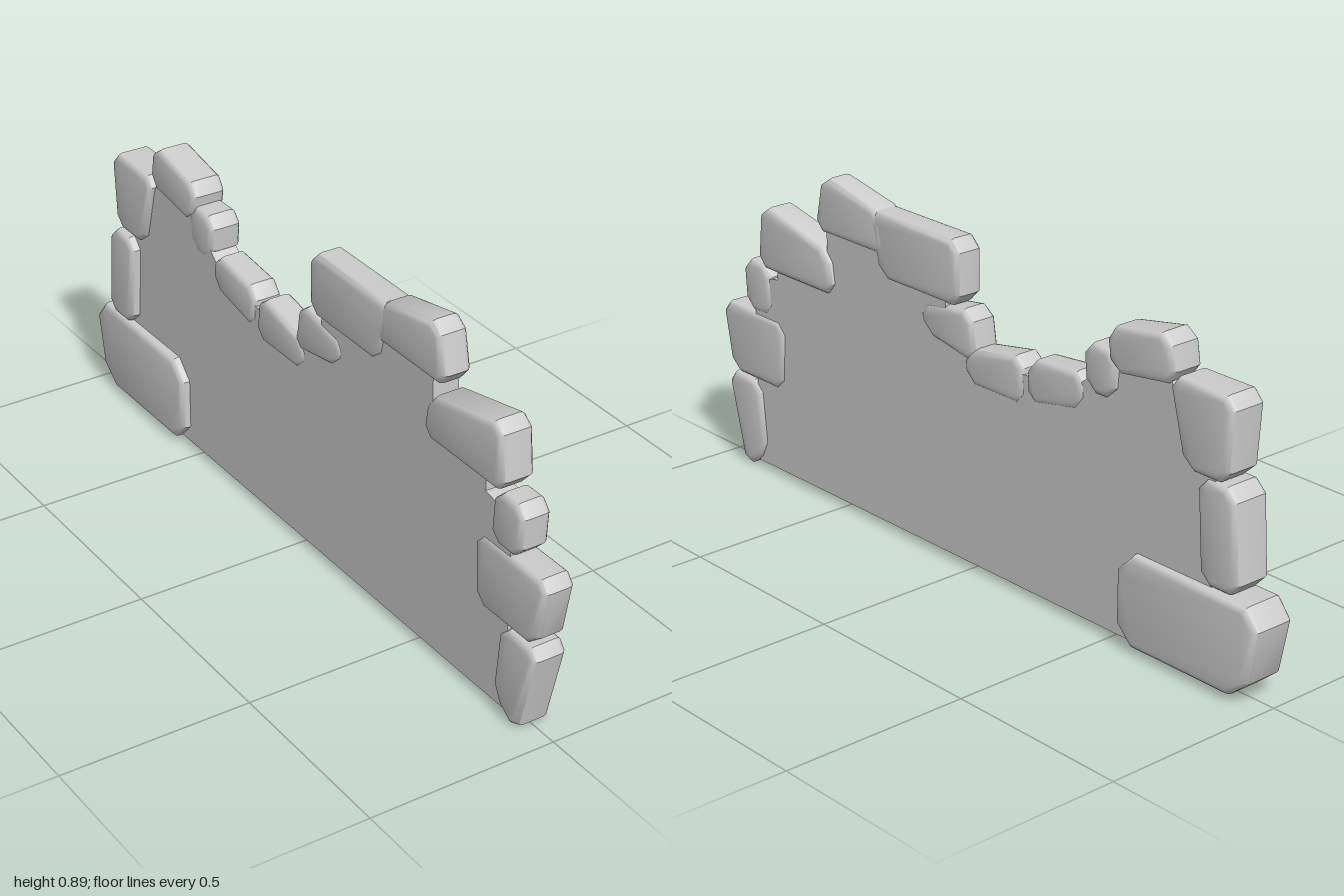
import * as THREE from 'three';
import { toCreasedNormals } from 'three/addons/utils/BufferGeometryUtils.js';

// Four-sided stone face in (z, y): the top may lean, widen or slope, and the foot may slope
function stoneOutline({ at, size, lean = 0, taper = 0, slope = 0, foot = 0 }) {
  return [[1, 1], [-1, 1], [-1, -1], [1, -1]].map(([side, end]) => new THREE.Vector2(
    at[0] + end * lean + side * (size[0] / 2 + end * taper),
    at[1] + end * size[1] / 2 + side * (end > 0 ? slope : foot),
  ));
}

// Trims every corner of an outline so that the stones look worn
function trimCorners(points, cut) {
  const count = points.length;
  return points.flatMap((corner, i) => [count - 1, 1].map((step) => {
    const next = points[(i + step) % count];
    return corner.clone().lerp(next, Math.min(0.35, cut / corner.distanceTo(next)));
  }));
}

// Extrudes a (z, y) outline across the wall, with rounded edges if bevel > 0
function slab(points, half, bevel) {
  const geometry = new THREE.ExtrudeGeometry(new THREE.Shape(points), {
    depth: 2 * (half - bevel),
    bevelEnabled: bevel > 0,
    bevelThickness: bevel,
    bevelSize: bevel,
    bevelOffset: -bevel,
    bevelSegments: 3,
  });
  return geometry.translate(0, 0, bevel - half).rotateY(-Math.PI / 2);
}

// Stones around the broken edge, from the front foot over the top to the back foot
const STONES = [
  { name: 'frontFootStone', at: [0.89, 0.134], size: [0.12, 0.233], lean: 0.022, taper: 0.012, foot: -0.033, half: 0.047 },
  { name: 'frontLowerStone', at: [0.86, 0.348], size: [0.25, 0.192], lean: 0.007, taper: 0.012, half: 0.043 },
  { name: 'frontMiddleStone', at: [0.845, 0.517], size: [0.115, 0.142], lean: 0.005 },
  { name: 'frontUpperStone', at: [0.672, 0.656], size: [0.298, 0.147], taper: -0.009, slope: 0.03, half: 0.046, shift: 0.005 },
  { name: 'frontPeakStone', at: [0.45, 0.806], size: [0.268, 0.133], taper: -0.016, slope: 0.023 },
  { name: 'topLongStone', at: [0.201, 0.765], size: [0.322, 0.17], lean: 0.011, taper: 0.011 },
  { name: 'dipStoneFront', at: [0.081, 0.621], size: [0.197, 0.107], lean: 0.011, slope: -0.015, foot: 0.017 },
  { name: 'dipStoneMiddle', at: [-0.089, 0.551], size: [0.217, 0.107], lean: 0.006, slope: -0.02 },
  { name: 'dipStoneBack', at: [-0.305, 0.583], size: [0.2, 0.105], slope: -0.01, foot: -0.02 },
  { name: 'smallStone', at: [-0.464, 0.671], size: [0.107, 0.123], taper: 0.006, half: 0.045, shift: 0.005 },
  { name: 'backPeakStone', at: [-0.597, 0.752], size: [0.21, 0.115], lean: 0.01, slope: -0.02, foot: -0.015, half: 0.048, shift: 0.005 },
  { name: 'backUpperStone', at: [-0.8, 0.626], size: [0.175, 0.213], lean: 0.01, taper: 0.018, half: 0.052 },
  { name: 'backMiddleStone', at: [-0.849, 0.385], size: [0.122, 0.26], lean: 0.009, half: 0.055, shift: -0.007 },
  { name: 'backFootStone', at: [-0.76, 0.134], size: [0.439, 0.238], lean: -0.012, taper: 0.012, half: 0.061, cut: 0.05 },
];

// Plain wall core, hidden under the stones along its stepped edge
const CORE = [
  [0.86, 0.02], [0.86, 0.54], [0.76, 0.56], [0.76, 0.66], [0.55, 0.66], [0.55, 0.79], [0.09, 0.79], [0.09, 0.62],
  [-0.04, 0.57], [-0.36, 0.59], [-0.54, 0.75], [-0.67, 0.75], [-0.7, 0.68], [-0.83, 0.68], [-0.83, 0.02],
];

export function createModel() {
  const wall = new THREE.Group();
  wall.name = 'ruinedWall';
  const material = new THREE.MeshStandardMaterial({ color: 0xcccccc });

  const core = new THREE.Mesh(slab(CORE.map((p) => new THREE.Vector2(...p)), 0.036, 0), material);
  core.name = 'wallCore';
  wall.add(core);

  for (const stone of STONES) {
    const { name, half = 0.041, shift = 0, cut = 0.03 } = stone;
    const geometry = slab(trimCorners(stoneOutline(stone), cut), half, 0.018);
    const mesh = new THREE.Mesh(toCreasedNormals(geometry, 0.7), material);
    mesh.position.x = shift;
    mesh.name = name;
    wall.add(mesh);
  }
  return wall;
}
